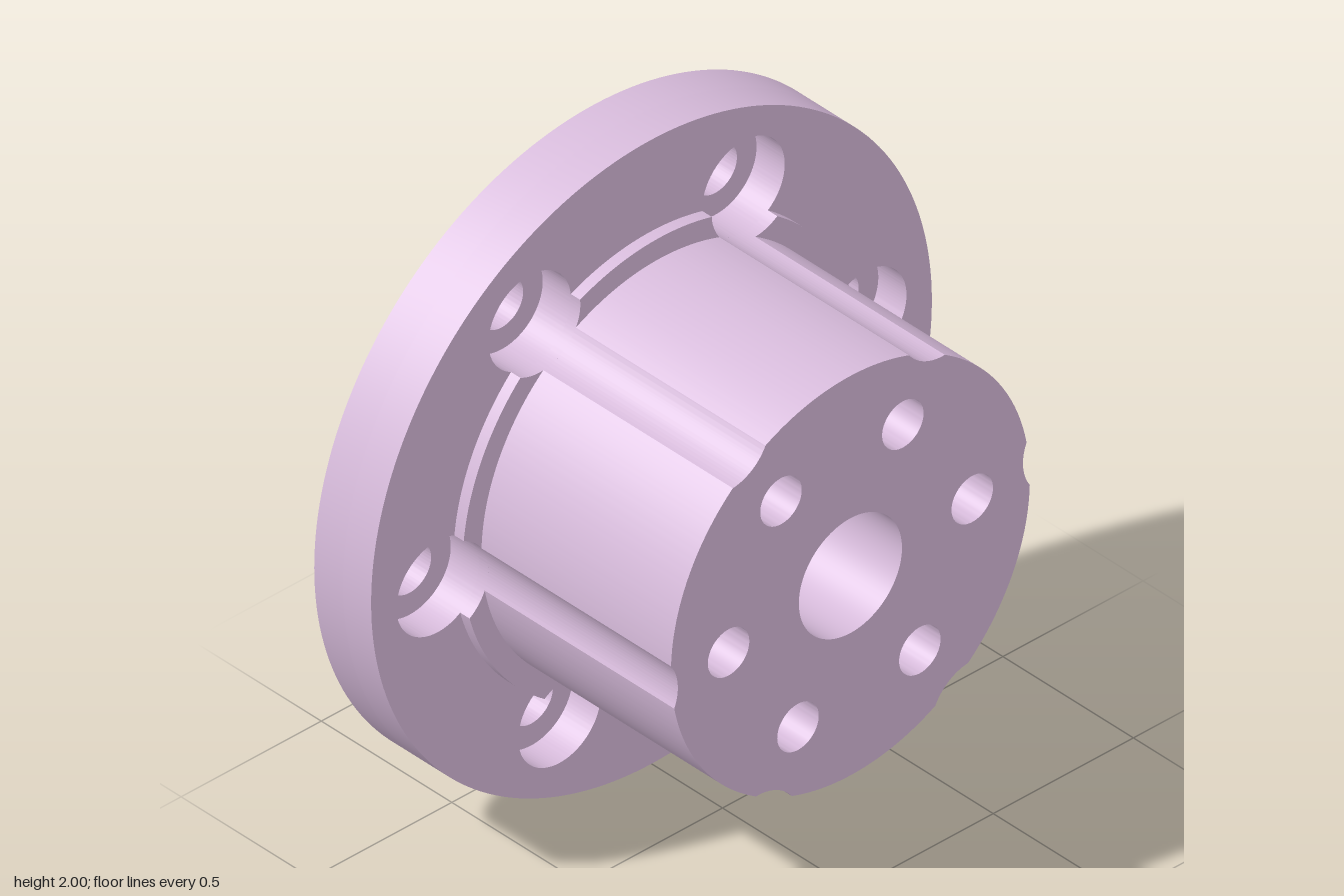
import * as THREE from 'three';
import { toCreasedNormals } from 'three/addons/utils/BufferGeometryUtils.js';

const TILT = THREE.MathUtils.degToRad(4.6);
const ANGLES = Array.from({ length: 6 }, (_, i) => TILT + (i * Math.PI) / 3);
const BOLT_DIST = 0.765, BOLT_R = 0.077, BORE_R = 0.147;
const PIN_DIST = 0.436, PIN_R = 0.074, AXLE_R = 0.184;

function addHole(shape, x, y, r) {
  const hole = new THREE.Path();
  hole.absarc(x, y, r, 0, Math.PI * 2, true);
  shape.holes.push(hole);
}

function addHoleCircle(shape, dist, r) {
  for (const t of ANGLES) addHole(shape, dist * Math.cos(t), dist * Math.sin(t), r);
}

// Full disc with six bolt holes of the given radius
function discShape(R, boltR) {
  const s = new THREE.Shape();
  s.absarc(0, 0, R, 0, Math.PI * 2, false);
  addHoleCircle(s, BOLT_DIST, boltR);
  return s;
}

// Disc whose rim is cut by the six counterbore circles
function notchedShape(R) {
  const d = (R * R + BOLT_DIST ** 2 - BORE_R ** 2) / (2 * BOLT_DIST);
  const a = Math.acos(d / R);
  const b = Math.acos((BOLT_DIST - d) / BORE_R);
  const s = new THREE.Shape();
  for (const t of ANGLES) {
    s.absarc(0, 0, R, t - Math.PI / 3 + a, t - a, false);
    s.absarc(BOLT_DIST * Math.cos(t), BOLT_DIST * Math.sin(t), BORE_R,
      t + Math.PI + b, t + Math.PI - b, true);
  }
  return s;
}

export function createModel() {
  const group = new THREE.Group();
  const material = new THREE.MeshStandardMaterial({ color: 0xd8bcdc });

  // Extrude a profile from z0 to z1, with the axle and pin holes cut through
  function addLayer(name, shape, z0, z1, curveSegments) {
    addHole(shape, 0, 0, AXLE_R);
    addHoleCircle(shape, PIN_DIST, PIN_R);
    const geo = new THREE.ExtrudeGeometry(shape, { depth: z1 - z0, bevelEnabled: false, curveSegments });
    const mesh = new THREE.Mesh(toCreasedNormals(geo, 0.4), material);
    mesh.name = name;
    mesh.position.set(0, 1, z0);
    group.add(mesh);
  }

  // Flange: narrow bolt holes at the back, wide counterbores at the front
  addLayer('flangeBack', discShape(1, BOLT_R), -0.49, -0.38, 96);
  addLayer('flangeFront', discShape(1, BORE_R), -0.38, -0.272, 96);
  // Low shoulder and the long hub with grooves for bolt access
  addLayer('shoulder', notchedShape(0.707), -0.272, -0.236, 32);
  addLayer('hub', notchedShape(0.64), -0.236, 0.49, 32);
  return group;
}
